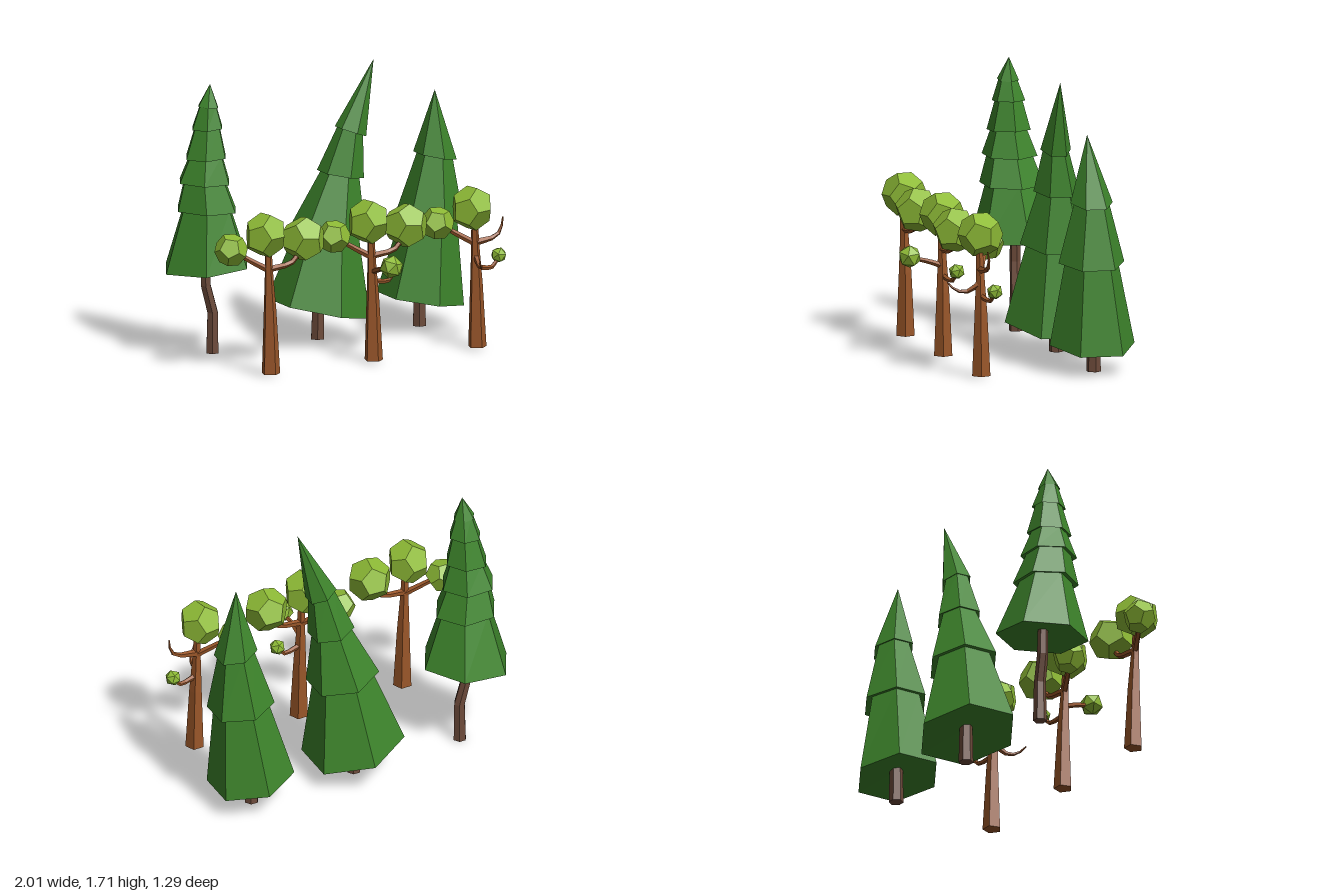
import * as THREE from 'three';

const mat = (name, hex) => {
  const m = new THREE.MeshStandardMaterial({ color: hex });
  m.name = name;
  return m;
};

// Flat-shaded skin over rings listed from bottom to top.
// Each ring: [x, y, z, radius, lean], where lean tips the ring down toward +x.
function loft(rings, sides, turn = 0) {
  const pos = [];
  const at = ([x, y, z, r, lean = 0], i) => {
    const a = turn + (i / sides) * Math.PI * 2;
    const dx = Math.cos(a) * r;
    return [x + dx, y - lean * dx, z + Math.sin(a) * r];
  };
  for (let j = 0; j < rings.length - 1; j++) {
    const lo = rings[j], up = rings[j + 1];
    for (let i = 0; i < sides; i++) {
      if (lo[3] > 0) pos.push(...at(lo, i), ...at(up, i), ...at(lo, i + 1));
      if (up[3] > 0) pos.push(...at(lo, i + 1), ...at(up, i), ...at(up, i + 1));
    }
  }
  const g = new THREE.BufferGeometry();
  g.setAttribute('position', new THREE.Float32BufferAttribute(pos, 3));
  g.computeVertexNormals();
  return g;
}

// Bent five-sided limb that thins from r0 to r1
function limb(points, r0, r1) {
  const curve = new THREE.CatmullRomCurve3(points.map(p => new THREE.Vector3(...p)));
  const steps = 5, sides = 5;
  const g = new THREE.TubeGeometry(curve, steps, r0, sides);
  const p = g.attributes.position, v = new THREE.Vector3();
  for (let k = 0; k < p.count; k++) {
    const t = Math.floor(k / (sides + 1)) / steps;
    const c = curve.getPointAt(t);
    v.fromBufferAttribute(p, k).sub(c).multiplyScalar(1 + (r1 / r0 - 1) * t).add(c);
    p.setXYZ(k, v.x, v.y, v.z);
  }
  const flat = g.toNonIndexed();
  flat.computeVertexNormals();
  return flat;
}

export function createModel() {
  const root = new THREE.Group();
  root.name = 'grove';
  const pineGreen = mat('pine green', 0x3d842b);
  const leafGreen = mat('leaf green', 0x8ebb36);
  const bark = mat('warm bark', 0x985528);
  const pineBark = mat('dark bark', 0x6c4a3a);

  const add = (parent, name, geometry, material) => {
    const m = new THREE.Mesh(geometry, material);
    m.name = name;
    parent.add(m);
    return m;
  };

  // Pines: tiers run from the base upward, each [x, y, z, radius, lean]
  const pines = [
    {
      name: 'leftPine', turn: 0, apex: [-0.72, 1.675, -0.303, 0],
      tiers: [
        [-0.72, 0.54, -0.345, 0.282, -0.08],
        [-0.73, 0.895, -0.325, 0.2, 0.03],
        [-0.75, 1.07, -0.318, 0.172, 0.03],
        [-0.745, 1.225, -0.31, 0.136, -0.04],
        [-0.737, 1.405, -0.307, 0.103, -0.05],
        [-0.733, 1.535, -0.302, 0.068, 0.1],
      ],
      trunk: [[-0.685, 0, -0.335, 0], [-0.685, 0, -0.335, 0.042], [-0.683, 0.25, -0.335, 0.036],
        [-0.725, 0.42, -0.345, 0.034], [-0.73, 0.65, -0.345, 0.03]],
    },
    {
      name: 'middlePine', turn: 0.588, apex: [0.395, 1.71, -0.257, 0],
      tiers: [
        [0.055, 0.188, -0.335, 0.312, 0.23],
        [0.118, 0.678, -0.318, 0.222, 0.2],
        [0.188, 1.012, -0.3, 0.142, 0.2],
        [0.245, 1.275, -0.277, 0.095, 0.38],
      ],
      trunk: [[0.055, 0, -0.345, 0], [0.055, 0, -0.345, 0.045], [0.06, 0.4, -0.34, 0.036]],
    },
    {
      name: 'rightPine', turn: 0.588, apex: [0.835, 1.465, -0.28, 0],
      tiers: [
        [0.765, 0.168, -0.335, 0.265, 0.18],
        [0.82, 0.68, -0.312, 0.205, 0.14],
        [0.85, 1.05, -0.303, 0.132, 0.22],
      ],
      trunk: [[0.765, 0, -0.345, 0], [0.765, 0, -0.345, 0.045], [0.77, 0.4, -0.34, 0.036]],
    },
  ];
  for (const { name, turn, apex, tiers, trunk } of pines) {
    const tree = new THREE.Group();
    tree.name = name;
    root.add(tree);
    // hollowed underside, then each skirt with the tucked-in lip of the tier above
    const [bx, by, bz] = tiers[0];
    const rings = [[bx, by + 0.05, bz, 0]];
    tiers.forEach((t, i) => {
      if (i > 0) rings.push([t[0], t[1] + 0.012, t[2], t[3] * 0.8, t[4]]);
      rings.push(t);
    });
    rings.push(apex);
    add(tree, 'pineFoliage', loft(rings, 6, turn), pineGreen);
    add(tree, 'pineTrunk', loft(trunk, 6), pineBark);
  }

  // Leafy trees: positions are relative to the foot of the trunk
  const Z = 0.367;
  function leafyTree(name, x) {
    const tree = new THREE.Group();
    tree.name = name;
    tree.position.set(x, 0, Z);
    root.add(tree);
    add(tree, 'trunk', loft([[0, 0.012, 0, 0], [0, 0.012, 0, 0.058], [-0.006, 0.4, 0, 0.04],
      [-0.014, 0.62, 0.002, 0.027], [-0.022, 0.82, 0.005, 0.02]], 5, 0.3), bark);
    const clump = (part, px, py, pz, r, spin) => {
      const geo = r > 0.09 ? new THREE.DodecahedronGeometry(r) : new THREE.IcosahedronGeometry(r);
      const m = add(tree, part, geo, leafGreen);
      m.position.set(px, py, pz);
      m.rotation.set(spin, spin * 1.7, 0.3);
      return m;
    };
    const branch = (part, pts, r0 = 0.021, r1 = 0.014) => add(tree, part, limb(pts, r0, r1), bark);

    clump('crown', -0.035, 0.872, -0.005, 0.143, 0.4).scale.set(1, 0.98, 0.92);
    clump('leftClump', -0.212, 0.778, -0.112, 0.103, 0.9);
    branch('leftBranch', [[-0.01, 0.65, 0], [-0.11, 0.71, -0.05], [-0.2, 0.77, -0.1]]);
    return { clump, branch };
  }

  const bigRight = t => {
    t.clump('rightClump', 0.227, 0.82, 0.002, 0.139, 0.2);
    t.branch('rightBranch', [[-0.01, 0.66, 0], [0.15, 0.685, 0], [0.22, 0.77, 0]]);
  };
  const lowRight = t => {
    t.clump('smallClump', 0.168, 0.553, -0.03, 0.05, 0.5);
    t.branch('lowBranch', [[-0.005, 0.5, 0], [0.12, 0.49, -0.02], [0.165, 0.55, -0.03]], 0.018, 0.011);
  };

  bigRight(leafyTree('leftLeafyTree', -0.685));

  const middle = leafyTree('middleLeafyTree', 0.032);
  bigRight(middle);
  lowRight(middle);
  middle.clump('frontClump', 0, 0.63, 0.213, 0.073, 0.1);
  middle.branch('frontBranch', [[-0.01, 0.56, 0], [-0.01, 0.595, 0.1], [0, 0.62, 0.2]], 0.019, 0.012);

  const right = leafyTree('rightLeafyTree', 0.755);
  lowRight(right);
  // bare branches ending in points
  right.branch('bareRightBranch', [[-0.01, 0.66, 0], [0.13, 0.685, 0.005], [0.165, 0.73, 0.005], [0.17, 0.8, 0.015]], 0.024, 0.004);
  right.branch('bareFrontBranch', [[-0.01, 0.58, 0], [-0.035, 0.525, 0.09], [-0.055, 0.54, 0.15], [-0.095, 0.58, 0.185]], 0.021, 0.004);

  return root;
}
